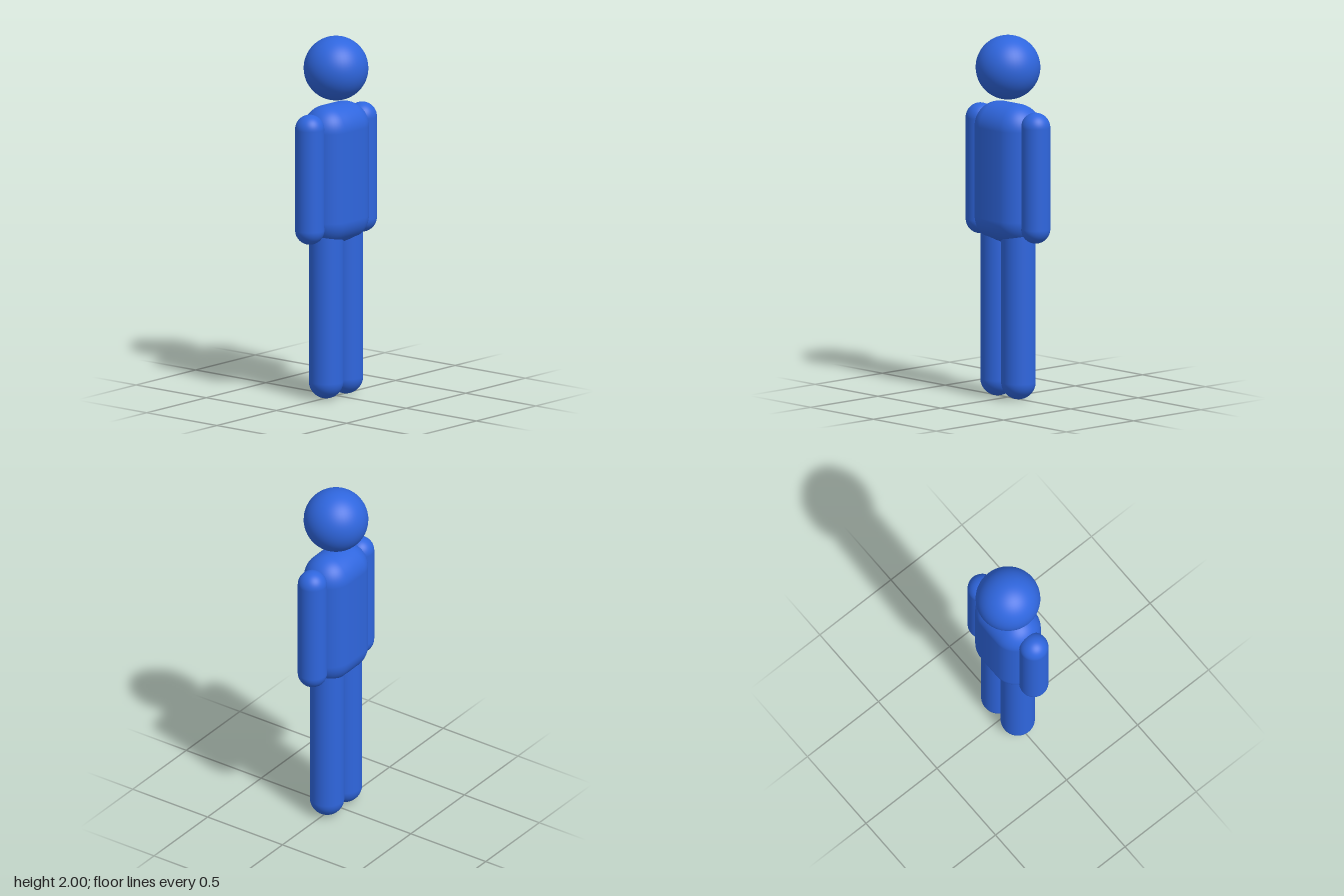
import * as THREE from 'three';

const blue = new THREE.MeshStandardMaterial({ color: 0x2f66de });
blue.name = 'blue';

// Upright capsule geometry spanning the given heights
function capsule(radius, bottom, top) {
  const geometry = new THREE.CapsuleGeometry(radius, top - bottom - 2 * radius, 16, 48, 1);
  return geometry.translate(0, (top + bottom) / 2, 0);
}

export function createModel() {
  const model = new THREE.Group();
  model.name = 'figure';

  function add(name, geometry, x = 0, y = 0) {
    const mesh = new THREE.Mesh(geometry, blue);
    mesh.name = name;
    mesh.position.set(x, y, 0);
    model.add(mesh);
  }

  // Floating round head
  add('head', new THREE.SphereGeometry(0.176, 48, 32), 0, 1.824);

  // Torso: a capsule whose two halves are pulled apart sideways
  const torso = capsule(0.137, 0.858, 1.63);
  const p = torso.attributes.position;
  for (let i = 0; i < p.count; i++) {
    const x = p.getX(i);
    if (Math.abs(x) > 1e-6) p.setX(i, x + Math.sign(x) * 0.065);
  }
  add('torso', torso);

  // Arms and legs, mirrored
  const arm = capsule(0.08, 0.88, 1.6);
  const leg = capsule(0.094, 0.003, 1.06);
  for (const [side, s] of [['left', 1], ['right', -1]]) {
    add(side + 'Arm', arm, s * 0.22);
    add(side + 'Leg', leg, s * 0.083);
  }
  return model;
}
